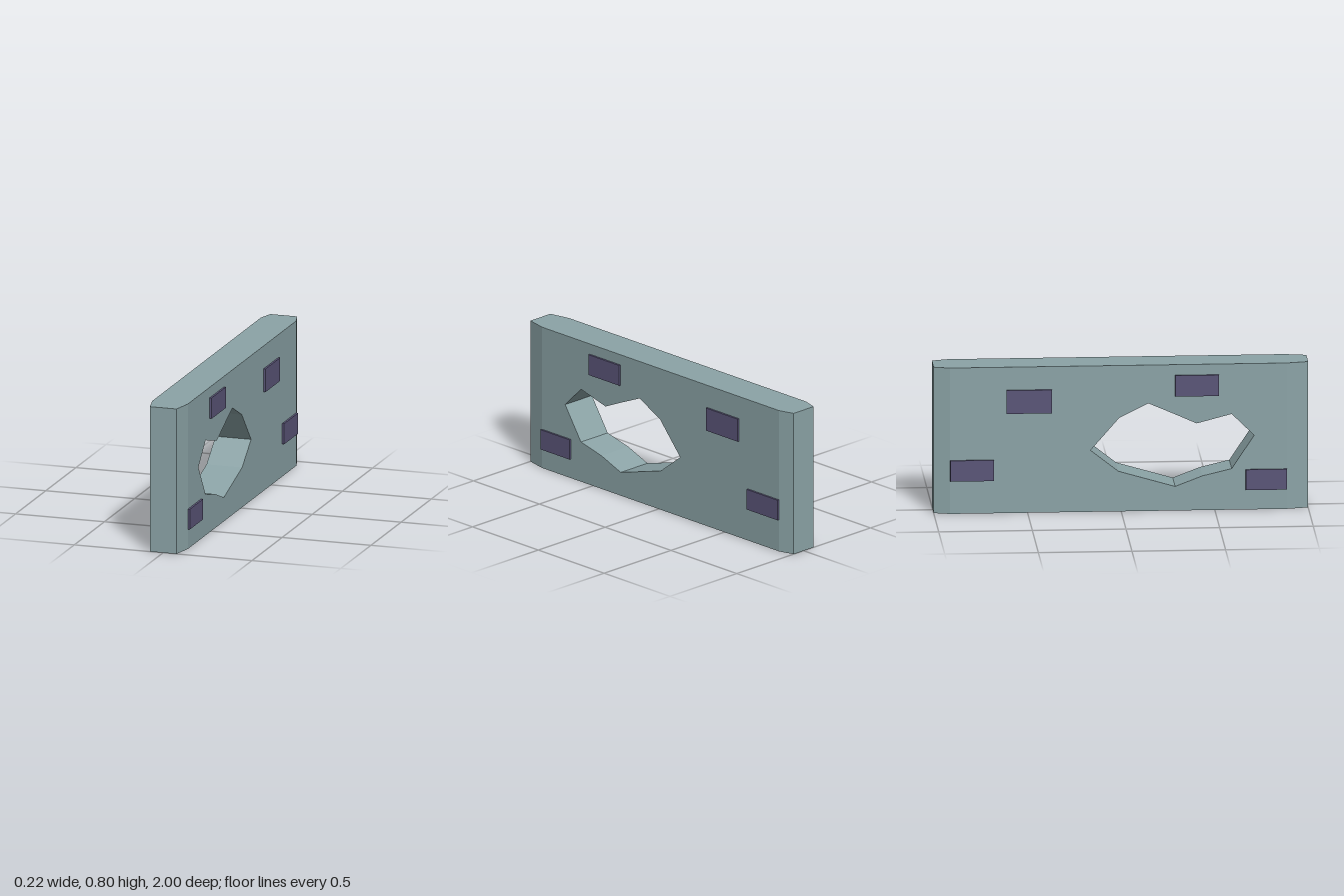
import * as THREE from 'three';

const HEIGHT = 0.8, HALF = 0.1, END_HALF = 0.075;
const FRONT_JOIN = 0.885, BACK_JOIN = -0.915;

const toShape = pts => new THREE.Shape(pts.map(([a, b]) => new THREE.Vector2(a, b)));

// Removes the hidden triangles lying in the plane z = join
function openAt(geometry, joins) {
  const p = geometry.attributes.position, kept = [];
  for (let i = 0; i < p.count; i += 3) {
    const hidden = joins.some(j => [0, 1, 2].every(k => Math.abs(p.getZ(i + k) - j) < 1e-4));
    if (!hidden) for (let k = 0; k < 3; k++) kept.push(p.getX(i + k), p.getY(i + k), p.getZ(i + k));
  }
  const open = new THREE.BufferGeometry();
  open.setAttribute('position', new THREE.Float32BufferAttribute(kept, 3));
  open.computeVertexNormals();
  return open;
}

export function createModel() {
  const group = new THREE.Group();
  const stone = new THREE.MeshStandardMaterial({ color: 0x8ba3a6, flatShading: true });
  const plateMaterial = new THREE.MeshStandardMaterial({ color: 0x5a5578, flatShading: true });

  const add = (name, geometry, material) => {
    const mesh = new THREE.Mesh(geometry, material);
    mesh.name = name;
    group.add(mesh);
    return mesh;
  };

  // Main wall, drawn in (z, y), with a jagged hole through it
  const wall = toShape([[BACK_JOIN, 0], [FRONT_JOIN, 0], [FRONT_JOIN, HEIGHT], [BACK_JOIN, HEIGHT]]);
  wall.holes.push(toShape([
    [0.71, 0.406], [0.59, 0.525], [0.403, 0.476], [0.283, 0.53], [0.145, 0.59], [-0.01, 0.513],
    [-0.164, 0.337], [-0.015, 0.22], [0.288, 0.132], [0.434, 0.188], [0.59, 0.225],
  ]));
  const wallGeometry = new THREE.ExtrudeGeometry(wall, { depth: HALF * 2, bevelEnabled: false });
  wallGeometry.translate(0, 0, -HALF).rotateY(-Math.PI / 2);
  add('wall', openAt(wallGeometry, [BACK_JOIN, FRONT_JOIN]), stone);

  // Tapered ends, drawn in plan and extruded upwards
  for (const [name, join, end] of [['frontEnd', FRONT_JOIN, 1], ['backEnd', BACK_JOIN, -1]]) {
    const plan = toShape([[-HALF, -join], [HALF, -join], [END_HALF, -end], [-END_HALF, -end]]);
    const geometry = new THREE.ExtrudeGeometry(plan, { depth: HEIGHT, bevelEnabled: false });
    add(name, openAt(geometry.rotateX(-Math.PI / 2), [join]), stone);
  }

  // Raised plates, mirrored on both sides: z range, y range
  const plates = [
    [0.288, 0.522, 0.627, 0.742],
    [-0.612, -0.37, 0.546, 0.674],
    [0.665, 0.885, 0.108, 0.22],
    [-0.913, -0.68, 0.179, 0.293],
  ];
  for (const [z0, z1, y0, y1] of plates) {
    for (const side of [1, -1]) {
      const plate = add(side > 0 ? 'leftPlate' : 'rightPlate',
        new THREE.BoxGeometry(0.014, y1 - y0, z1 - z0), plateMaterial);
      plate.position.set(side * 0.104, (y0 + y1) / 2, (z0 + z1) / 2);
    }
  }
  return group;
}
